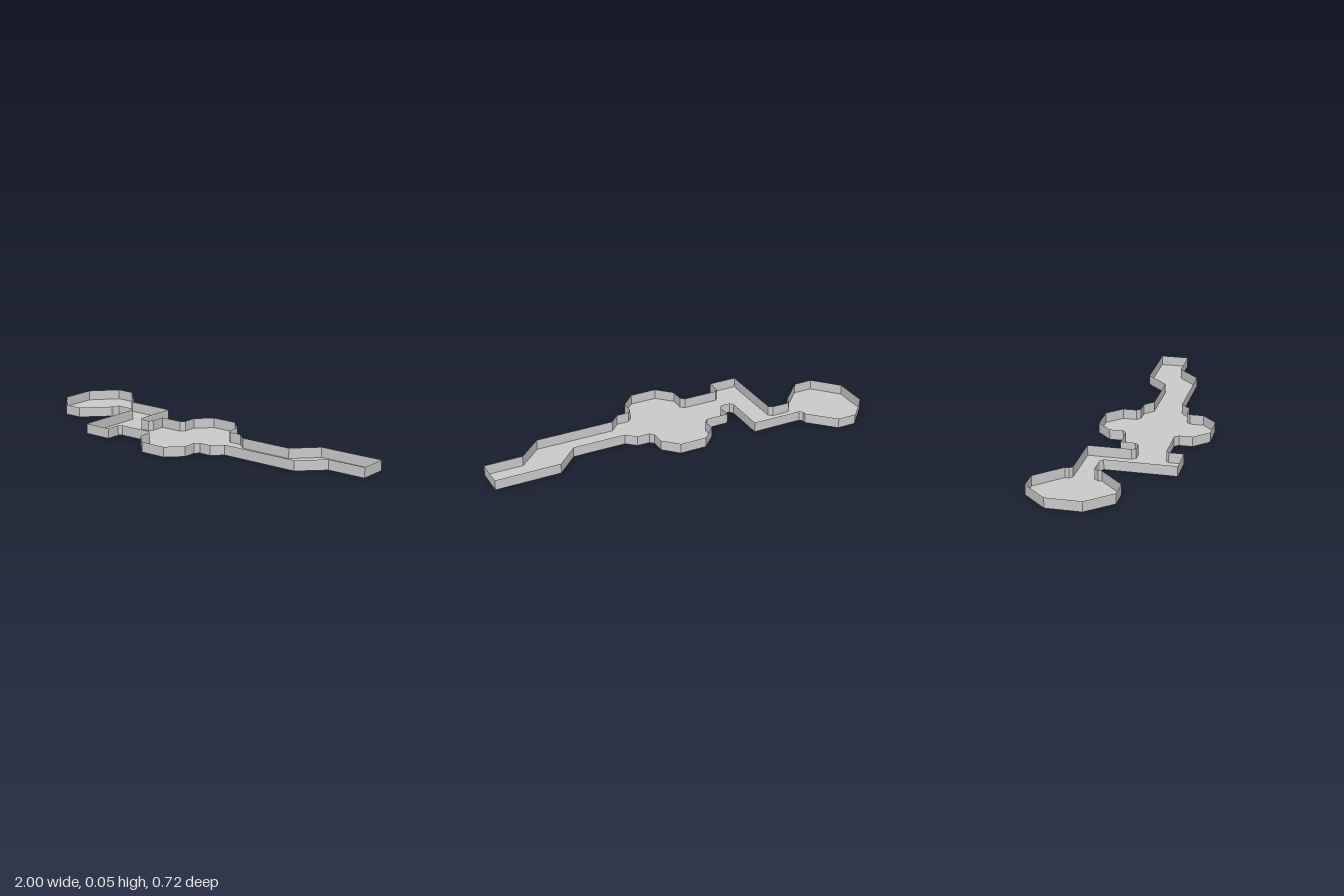
import * as THREE from 'three';

const WALL_HEIGHT = 0.053;

// Floor plan as [x, z] corners, running along the back edge and returning along the front
const PLAN = [
  // end room, back
  [-1, -0.235], [-0.885, -0.36], [-0.785, -0.36], [-0.66, -0.235], [-0.66, -0.215], [-0.645, -0.2],
  // bent corridor, inner side
  [-0.38, -0.2], [-0.38, 0.02], [-0.365, 0.04], [-0.315, 0.04], [-0.3, 0.02], [-0.3, -0.055],
  // central room, back
  [-0.18, -0.055], [-0.16, -0.075], [-0.16, -0.145], [-0.085, -0.22], [0.055, -0.22],
  [0.13, -0.145], [0.13, -0.075], [0.15, -0.055], [0.215, -0.055], [0.265, -0.01],
  // long corridor
  [0.545, -0.01], [0.66, -0.125], [1, -0.125], [1, 0.025], [0.8, 0.025], [0.68, 0.14], [0.265, 0.14],
  // central room, front
  [0.215, 0.19], [0.15, 0.19], [0.13, 0.21], [0.13, 0.28], [0.055, 0.355], [-0.085, 0.355],
  [-0.16, 0.28], [-0.16, 0.21], [-0.18, 0.19],
  // bent corridor, outer side
  [-0.365, 0.19], [-0.38, 0.205], [-0.38, 0.28], [-0.53, 0.28], [-0.53, -0.08], [-0.55, -0.095],
  // end room, front
  [-0.645, -0.095], [-0.66, -0.075], [-0.66, -0.055], [-0.785, 0.07], [-0.885, 0.07], [-1, -0.055],
];

// One upright quad per plan edge, facing outwards
function wallGeometry(plan, height) {
  const positions = [];
  plan.forEach(([ax, az], i) => {
    const [bx, bz] = plan[(i + 1) % plan.length];
    positions.push(
      ax, 0, az, ax, height, az, bx, height, bz,
      ax, 0, az, bx, height, bz, bx, 0, bz,
    );
  });
  const geometry = new THREE.BufferGeometry();
  geometry.setAttribute('position', new THREE.Float32BufferAttribute(positions, 3));
  geometry.computeVertexNormals();
  return geometry;
}

export function createModel() {
  const group = new THREE.Group();
  group.name = 'floorPlanTray';
  const material = new THREE.MeshStandardMaterial({
    color: 0xcccccc, flatShading: true, side: THREE.DoubleSide,
  });

  // Flat floor filling the outline
  const outline = new THREE.Shape(PLAN.map(([x, z]) => new THREE.Vector2(x, -z)));
  const floor = new THREE.Mesh(new THREE.ShapeGeometry(outline).rotateX(-Math.PI / 2), material);
  floor.name = 'floor';
  group.add(floor);

  // Thin walls around the rim, open at the top
  const walls = new THREE.Mesh(wallGeometry(PLAN, WALL_HEIGHT), material);
  walls.name = 'walls';
  group.add(walls);

  return group;
}
